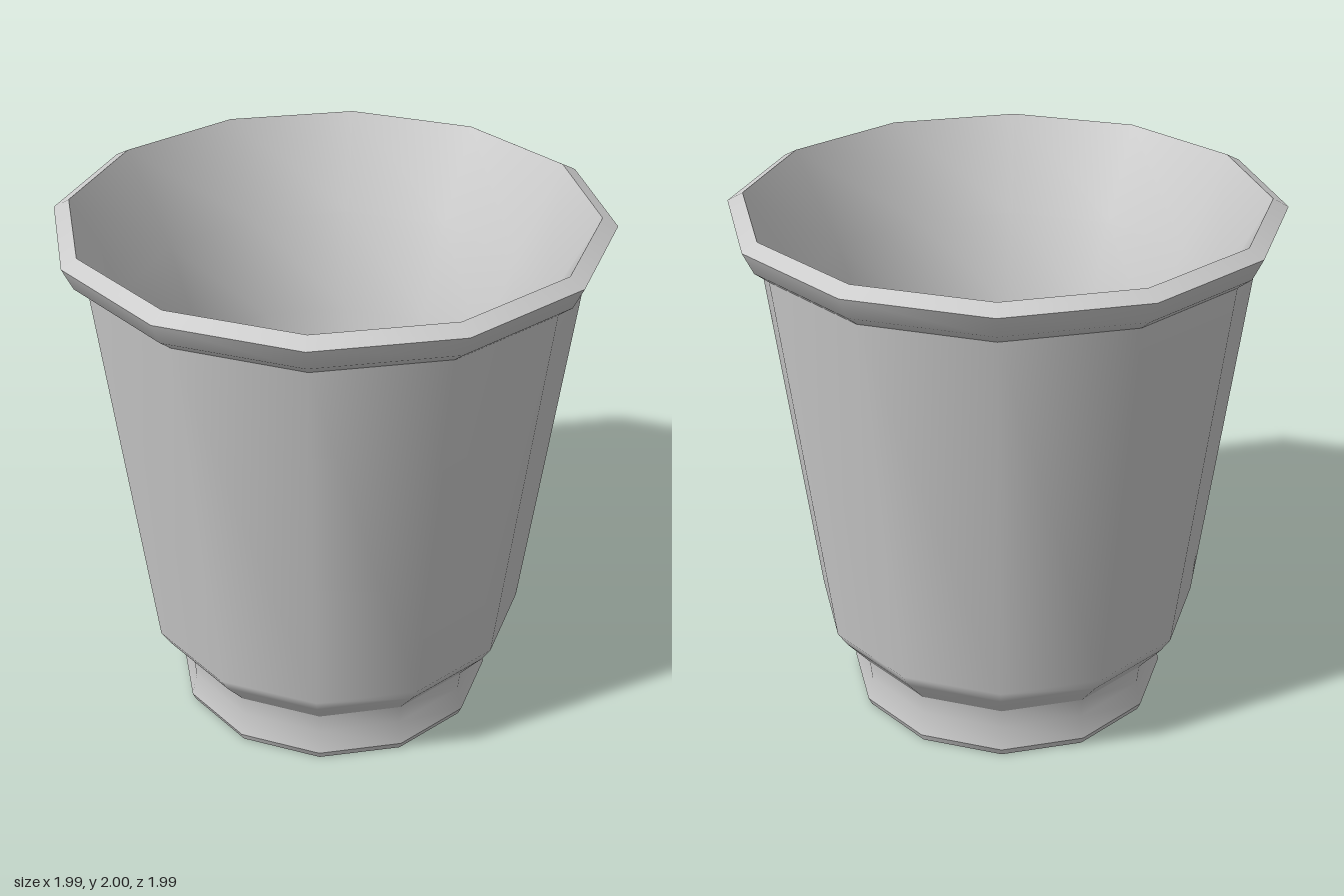
import * as THREE from 'three';

const SIDES = 12;

export function createModel() {
  const group = new THREE.Group();
  group.name = 'cup';
  const material = new THREE.MeshStandardMaterial({ color: 0xcccccc });

  // Each ring is a smooth band; hard edges fall between bands.
  const ring = (name, profile) => {
    const points = profile.map(([r, y]) => new THREE.Vector2(r, y));
    const geometry = new THREE.LatheGeometry(points, SIDES);
    geometry.normalizeNormals();
    const mesh = new THREE.Mesh(geometry, material);
    mesh.name = name;
    group.add(mesh);
  };

  // Foot
  ring('base', [[0, 0], [0.6, 0]]);
  ring('footEdge', [[0.6, 0], [0.613, 0.03]]);
  ring('foot', [[0.613, 0.03], [0.592, 0.12], [0.6, 0.2]]);

  // Tapered outer wall with a rounded lower shoulder
  ring('outerWall', [[0.6, 0.2], [0.69, 0.31], [0.727, 0.37], [0.905, 1.85]]);

  // Flared lip and bevelled rim
  ring('lip', [[0.905, 1.85], [0.955, 1.89], [0.993, 1.97]]);
  ring('rim', [[0.993, 1.97], [0.937, 2]]);

  // Hollow inside, flaring towards the mouth
  ring('innerWall', [[0.937, 2], [0.757, 1.65], [0.627, 1.29], [0.535, 0.87]]);
  ring('innerFloor', [[0.535, 0.87], [0, 0.87]]);

  return group;
}
